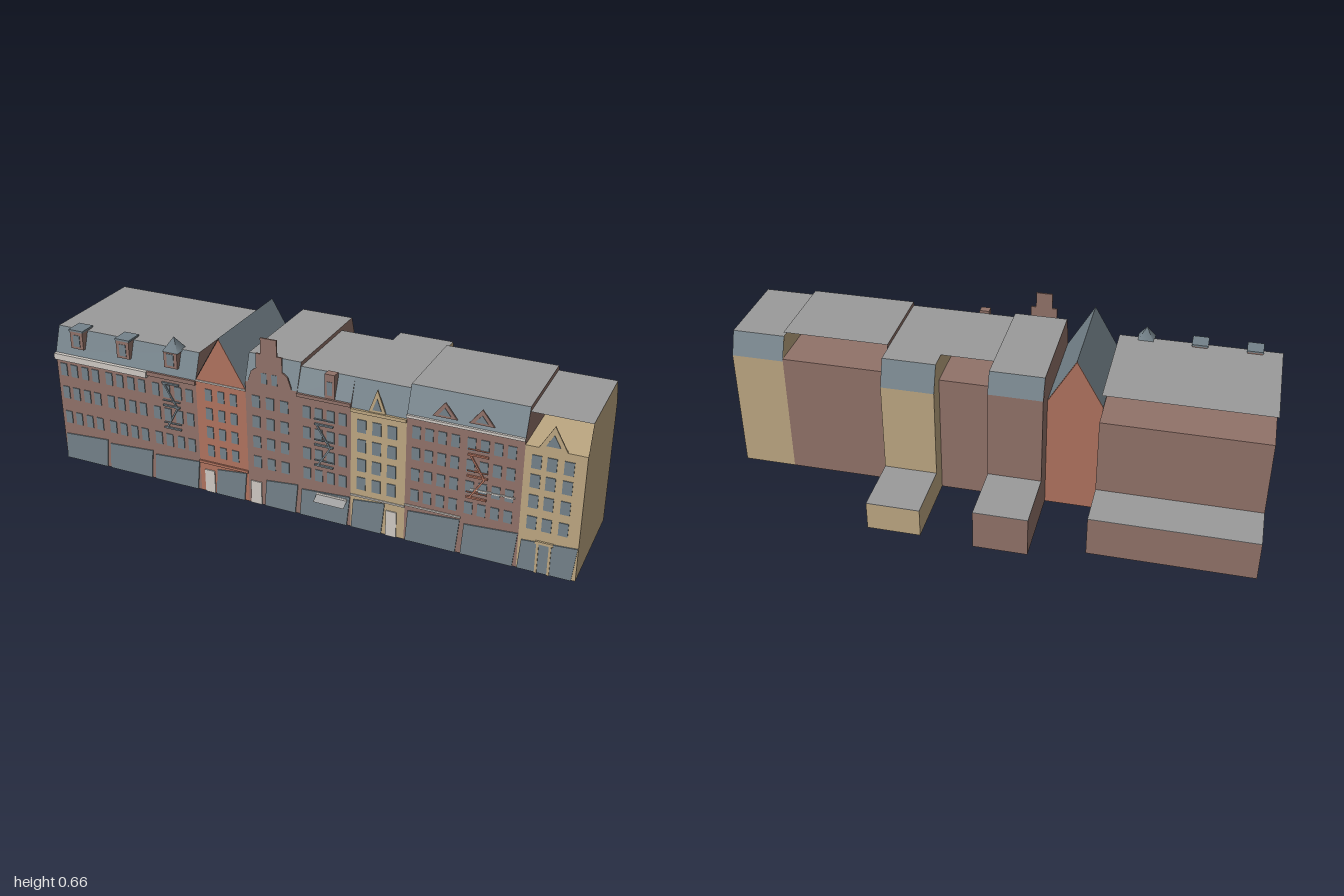
import * as THREE from 'three';

const paint = (name, color, side = THREE.FrontSide) => {
  const m = new THREE.MeshStandardMaterial({ color, side });
  m.name = name;
  return m;
};

export function createModel() {
  const root = new THREE.Group();
  root.name = 'townhouseRow';
  const brown = paint('brownBrick', 0x917269);
  const red = paint('redBrick', 0xb0735f);
  const tan = paint('tanStone', 0xbda782);
  const slate = paint('slate', 0x74828a, THREE.DoubleSide);
  const grey = paint('flatRoofGrey', 0x9a9a9a, THREE.DoubleSide);
  const white = paint('paleTrim', 0xcfcac4);
  const F = 0.345; // facade plane

  const add = (parent, name, geo, mat) => {
    const m = new THREE.Mesh(geo, mat);
    m.name = name;
    parent.add(m);
    return m;
  };
  // box given by its limits
  const block = (p, name, mat, x0, x1, y0, y1, z0, z1) => {
    const m = add(p, name, new THREE.BoxGeometry(x1 - x0, y1 - y0, z1 - z0), mat);
    m.position.set((x0 + x1) / 2, (y0 + y1) / 2, (z0 + z1) / 2);
    return m;
  };
  // flat four-cornered face, counter-clockwise from its visible side
  const quad = (p, name, mat, ...c) => {
    const g = new THREE.BufferGeometry();
    g.setAttribute('position', new THREE.Float32BufferAttribute(c.flat(), 3));
    g.setIndex([0, 1, 2, 0, 2, 3]);
    g.computeVertexNormals();
    return add(p, name, g, mat);
  };
  // outline in x/y extruded along z
  const panel = (p, name, mat, pts, z = F, depth = 0.004) => {
    const s = new THREE.Shape(pts.map(([x, y]) => new THREE.Vector2(x, y)));
    const m = add(p, name, new THREE.ExtrudeGeometry(s, { depth, bevelEnabled: false }), mat);
    m.position.z = z;
    return m;
  };
  const plate = (p, name, mat, x0, x1, y0, y1, t = 0.004) => block(p, name, mat, x0, x1, y0, y1, F - 0.001, F + t);

  // walls, attic ends, flat roof, mansard slopes and rear annex
  function house(name, mat, x0, x1, o) {
    const g = new THREE.Group();
    g.name = name;
    root.add(g);
    const { eave, top, back, inset = 0.035, backEave = eave, annex, front = true, rear = true } = o;
    const zf = F - 0.035, zb = back + inset;
    block(g, 'walls', mat, x0, x1, 0, eave, back, F);
    if (backEave > eave) block(g, 'rearParapet', mat, x0, x1, eave, backEave, back, back + 0.003);
    quad(g, 'leftAtticEnd', mat, [x1, eave, F], [x1, eave, back], [x1, top, zb], [x1, top, zf]);
    quad(g, 'rightAtticEnd', mat, [x0, eave, back], [x0, eave, F], [x0, top, zf], [x0, top, zb]);
    quad(g, 'flatRoof', grey, [x0, top, zf], [x1, top, zf], [x1, top, zb], [x0, top, zb]);
    if (front) quad(g, 'frontMansard', slate, [x0, eave, F], [x1, eave, F], [x1, top, zf], [x0, top, zf]);
    if (rear) quad(g, 'rearMansard', slate, [x1, backEave, back], [x0, backEave, back], [x0, top, zb], [x1, top, zb]);
    if (annex) {
      block(g, 'annex', mat, x0, x1, 0, annex.h, annex.z, back);
      block(g, 'annexRoof', grey, x0, x1, annex.h, annex.h + 0.002, annex.z, back);
    }
    return g;
  }
  const windows = (p, xs, ys, w = 0.03, h = 0.045) => {
    for (const x of xs) for (const y of ys) plate(p, 'window', slate, x - w / 2, x + w / 2, y - h / 2, y + h / 2, 0.003);
  };
  // shopfront with one leaning edge
  const shop = (p, x0, x1, h) => panel(p, 'shopfront', slate,
    [[x0, 0], [x1 - 0.014, 0], [x1 - 0.002, h], [x0 + 0.008, h - 0.012]]);
  const pediment = (p, mat, x, y, w, h) => {
    panel(p, 'pediment', mat, [[x - w / 2, y], [x + w / 2, y], [x, y + h]], F - 0.004, 0.006);
    panel(p, 'pedimentPane', slate, [[x - w / 4, y + h * 0.15], [x + w / 4, y + h * 0.15], [x, y + h * 0.65]], F + 0.002, 0.002);
  };
  // landings joined by zigzag stairs
  const fireEscape = (p, mat, x, ys) => ys.forEach((y, i) => {
    plate(p, 'escapeLanding', mat, x - 0.035, x + 0.035, y, y + 0.006, 0.007);
    plate(p, 'escapeRail', mat, x - 0.035, x + 0.035, y + 0.022, y + 0.025, 0.007);
    if (i === ys.length - 1) return;
    const s = i % 2 ? -1 : 1, dy = ys[i + 1] - y, len = Math.hypot(0.05, dy);
    const m = add(p, 'escapeStair', new THREE.BoxGeometry(len, 0.006, 0.004), mat);
    m.position.set(x, y + dy / 2, F + 0.005);
    m.rotation.z = s * Math.atan2(dy, 0.05);
  });

  // three-bay brown house
  const a = house('threeBayHouse', brown, -1, -0.4,
    { eave: 0.445, top: 0.54, back: -0.148, inset: 0.027, rear: false, annex: { z: -0.322, h: 0.152 } });
  [-0.9, -0.7, -0.5].forEach((x, i) => {
    windows(a, [-0.07, -0.024, 0.024, 0.07].map(d => x + d), [0.18, 0.285, 0.38], 0.028, 0.05);
    shop(a, x - 0.098, x + 0.1, 0.118);
    // dormers, the last with a pointed cap
    block(a, 'dormer', [brown, brown, slate, brown, brown, brown], x - 0.027, x + 0.027, 0.475, i < 2 ? 0.545 : 0.535, 0.28, F);
    plate(a, 'dormerWindow', slate, x - 0.014, x + 0.014, 0.485, 0.53, 0.002);
    if (i < 2) block(a, 'dormerCap', slate, x - 0.03, x + 0.03, 0.543, 0.55, 0.28, F + 0.002);
    else {
      const cap = add(a, 'dormerSpire', new THREE.ConeGeometry(0.045, 0.05, 4).rotateY(Math.PI / 4), slate);
      cap.position.set(x, 0.56, 0.313);
    }
  });
  block(a, 'cornice', white, -1, -0.6, 0.422, 0.446, F, 0.359);
  plate(a, 'corniceBand', brown, -0.6, -0.4, 0.43, 0.446, 0.008);
  fireEscape(a, slate, -0.505, [0.23, 0.32, 0.41]);

  // red brick house with a steep gable
  const c = new THREE.Group();
  c.name = 'gabledHouse';
  root.add(c);
  panel(c, 'walls', red, [[-0.4, 0], [-0.2, 0], [-0.2, 0.45], [-0.3, 0.623], [-0.4, 0.45]], -0.06, F + 0.06);
  for (const s of [-1, 1]) {
    const e = -0.3 + s * 0.101;
    quad(c, 'roofSlope', slate, ...(s > 0
      ? [[e, 0.452, F], [e, 0.452, -0.06], [-0.3, 0.627, -0.06], [-0.3, 0.627, F]]
      : [[e, 0.452, -0.06], [e, 0.452, F], [-0.3, 0.627, F], [-0.3, 0.627, -0.06]]));
  }
  windows(c, [-0.35, -0.3, -0.25], [0.175, 0.25, 0.325, 0.4], 0.026);
  plate(c, 'gableBand', white, -0.4, -0.2, 0.446, 0.452);
  plate(c, 'shopBand', red, -0.4, -0.2, 0.118, 0.128, 0.006);
  plate(c, 'door', white, -0.38, -0.34, 0, 0.092);
  shop(c, -0.335, -0.205, 0.115);

  // brown house with a stepped gable
  const b = house('steppedGableHouse', brown, -0.2, 0,
    { eave: 0.485, top: 0.58, back: -0.144, inset: 0.028, backEave: 0.5, annex: { z: -0.378, h: 0.152 } });
  const half = [[0.085, 0.485], [0.07, 0.53], [0.05, 0.545], [0.05, 0.6], [0.031, 0.6], [0.031, 0.66]];
  panel(b, 'steppedGable', brown, [...half.map(([x, y]) => [-0.105 - x, y]).reverse(),
    ...half.map(([x, y]) => [-0.105 + x, y])].reverse(), F - 0.004, 0.006);
  windows(b, [-0.16, -0.105, -0.05], [0.175, 0.255, 0.335, 0.415]);
  windows(b, [-0.125, -0.085], [0.51], 0.022, 0.04);
  plate(b, 'door', white, -0.19, -0.148, 0, 0.092);
  shop(b, -0.135, 0, 0.118);

  // brown house with an awning
  const f = house('awningHouse', brown, 0, 0.2, { eave: 0.48, top: 0.565, back: -0.06, rear: false });
  windows(f, [0.035, 0.08, 0.125, 0.17], [0.175, 0.255, 0.335, 0.415], 0.028);
  block(f, 'atticDormer', brown, 0.103, 0.14, 0.48, 0.572, 0.315, F);
  plate(f, 'dormerWindow', slate, 0.112, 0.131, 0.495, 0.545, 0.002);
  plate(f, 'cornice', brown, 0, 0.2, 0.47, 0.482, 0.008);
  shop(f, 0.005, 0.2, 0.118);
  quad(f, 'awning', grey, [0.072, 0.086, 0.38], [0.188, 0.086, 0.38], [0.188, 0.104, F], [0.072, 0.104, F]);
  plate(f, 'awningTrim', white, 0.072, 0.188, 0.1, 0.108, 0.006);
  fireEscape(f, slate, 0.1, [0.215, 0.295, 0.375]);

  // tan house with a rear annex
  const d = house('tanHouse', tan, 0.2, 0.4,
    { eave: 0.463, top: 0.565, back: -0.13, annex: { z: -0.362, h: 0.11 } });
  windows(d, [0.24, 0.295, 0.35], [0.183, 0.255, 0.33, 0.405], 0.032, 0.048);
  pediment(d, tan, 0.295, 0.462, 0.065, 0.09);
  plate(d, 'cornice', tan, 0.2, 0.4, 0.455, 0.467, 0.008);
  plate(d, 'shopBand', white, 0.2, 0.4, 0.128, 0.134);
  shop(d, 0.203, 0.33, 0.125);
  plate(d, 'door', white, 0.333, 0.372, 0, 0.1);

  // wide brown house
  const g = house('doubleHouse', brown, 0.4, 0.8, { eave: 0.485, top: 0.58, back: -0.06, rear: false });
  windows(g, [0.435, 0.48, 0.525, 0.57, 0.625, 0.67, 0.715, 0.76], [0.185, 0.265, 0.345, 0.425], 0.028);
  for (const x of [0.53, 0.655]) pediment(g, brown, x, 0.5, 0.085, 0.055);
  plate(g, 'cornice', white, 0.4, 0.8, 0.476, 0.486, 0.008);
  plate(g, 'shopBand', white, 0.4, 0.6, 0.138, 0.144);
  shop(g, 0.405, 0.6, 0.132);
  shop(g, 0.605, 0.8, 0.132);
  fireEscape(g, red, 0.65, [0.225, 0.305, 0.385]);
  plate(g, 'balconyTrim', white, 0.63, 0.78, 0.258, 0.263, 0.006);

  // tan end house, open behind its pediment
  const e = house('endHouse', tan, 0.8, 1, { eave: 0.463, top: 0.563, back: -0.06, backEave: 0.475, front: false });
  windows(e, [0.84, 0.89, 0.945], [0.185, 0.265, 0.34, 0.41], 0.032, 0.048);
  pediment(e, tan, 0.89, 0.462, 0.095, 0.085);
  shop(e, 0.803, 1, 0.125);
  for (const x of [0.863, 0.905]) plate(e, 'doorPost', tan, x, x + 0.008, 0, 0.115, 0.007);
  plate(e, 'doorLintel', tan, 0.858, 0.918, 0.112, 0.122, 0.007);

  return root;
}
